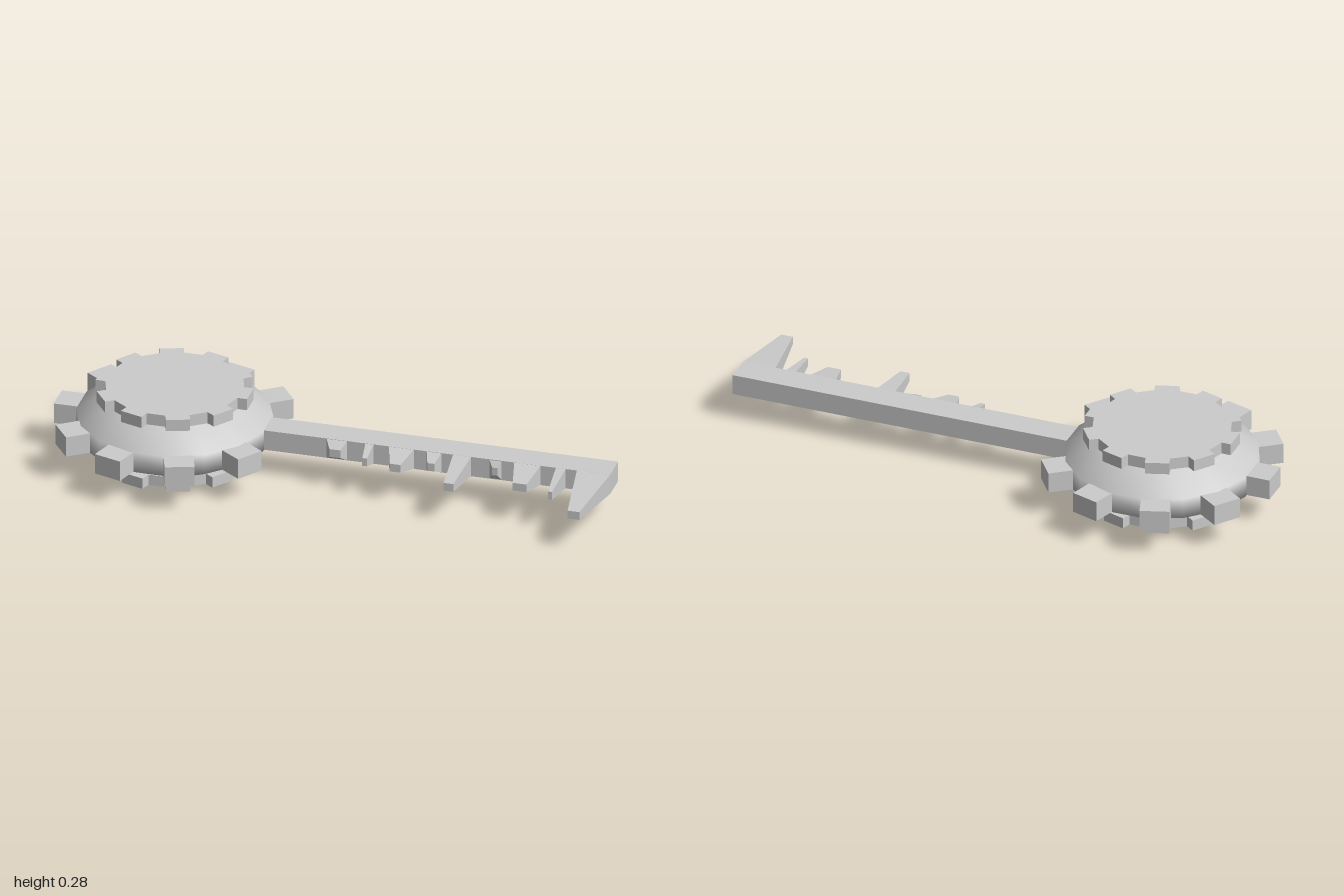
import * as THREE from 'three';

const material = new THREE.MeshStandardMaterial({ color: 0xcccccc });
const HEAD_X = -0.58, LOW = 0.1, HIGH = 0.175, MID = (LOW + HIGH) / 2;
const TEETH = 10, STEP = (Math.PI * 2) / TEETH;

function part(name, geometry, parent) {
  const mesh = new THREE.Mesh(geometry, material);
  mesh.name = name;
  parent.add(mesh);
  return mesh;
}

// Flat toothed plate lying between two heights
function cogPlate(rootRadius, tipRadius, toothWidth, y0, y1) {
  const h = toothWidth / 2, points = [];
  for (let i = 0; i < TEETH; i++) {
    const a = i * STEP, c = Math.cos(a), s = Math.sin(a);
    for (const [r, w] of [[rootRadius, -h], [tipRadius, -h], [tipRadius, h], [rootRadius, h]]) {
      points.push(new THREE.Vector2(r * c - w * s, r * s + w * c));
    }
  }
  const geometry = new THREE.ExtrudeGeometry(new THREE.Shape(points), { depth: y1 - y0, bevelEnabled: false });
  return geometry.rotateX(-Math.PI / 2).translate(0, y0, 0);
}

// Block that narrows from its base at z = z0 to its tip at z = z1
function taperedTooth(base0, base1, tip0, tip1, z0, z1) {
  const geometry = new THREE.BoxGeometry(1, 1, 1).toNonIndexed();
  const p = geometry.attributes.position;
  for (let i = 0; i < p.count; i++) {
    const tip = p.getZ(i) > 0, right = p.getX(i) > 0;
    const x = tip ? (right ? tip1 : tip0) : (right ? base1 : base0);
    const half = tip ? 0.015 : (HIGH - LOW) / 2;
    p.setXYZ(i, x, MID + Math.sign(p.getY(i)) * half, tip ? z1 : z0);
  }
  geometry.computeVertexNormals();
  return geometry;
}

export function createModel() {
  const model = new THREE.Group();
  model.name = 'cogKey';

  // Round head: smooth double cone with a straight band
  const head = new THREE.Group();
  head.name = 'head';
  head.position.x = HEAD_X;
  model.add(head);
  const profile = [[0.22, 0.035], [0.342, LOW], [0.342, HIGH], [0.22, 0.243]]
    .map(([r, y]) => new THREE.Vector2(r, y));
  part('headBody', new THREE.LatheGeometry(profile, 16, Math.PI / 16), head);

  // Toothed plates above and below
  part('topCog', cogPlate(0.238, 0.272, 0.085, 0.24, 0.283), head);
  part('bottomCog', cogPlate(0.228, 0.264, 0.085, 0, 0.04), head);

  // Ring of blocks around the band; the shaft takes the place of the first
  for (let i = 1; i < TEETH; i++) {
    const block = new THREE.BoxGeometry(0.14, HIGH - LOW, 0.104).translate(0.35, MID, 0);
    part('rimTooth', block, head).rotation.y = i * STEP;
  }

  // Shaft
  const shaft = new THREE.BoxGeometry(1.3, HIGH - LOW, 0.104).translate(0.35, MID, 0);
  part('shaft', shaft, model);

  // Key bits: base start, base end, tip start, tip end, reach
  const bits = [
    [-0.02, 0.055, 0, 0.04, 0.085],
    [0.12, 0.15, 0.128, 0.145, 0.12],
    [0.205, 0.295, 0.23, 0.27, 0.135],
    [0.34, 0.395, 0.355, 0.38, 0.095],
    [0.435, 0.5, 0.45, 0.485, 0.225],
    [0.565, 0.61, 0.58, 0.6, 0.067],
    [0.655, 0.75, 0.68, 0.73, 0.16],
    [0.805, 0.84, 0.815, 0.83, 0.19],
    [0.88, 1, 0.92, 0.963, 0.312],
  ];
  for (const [b0, b1, t0, t1, reach] of bits) {
    part('keyBit', taperedTooth(b0, b1, t0, t1, 0.05, reach), model);
  }
  return model;
}
